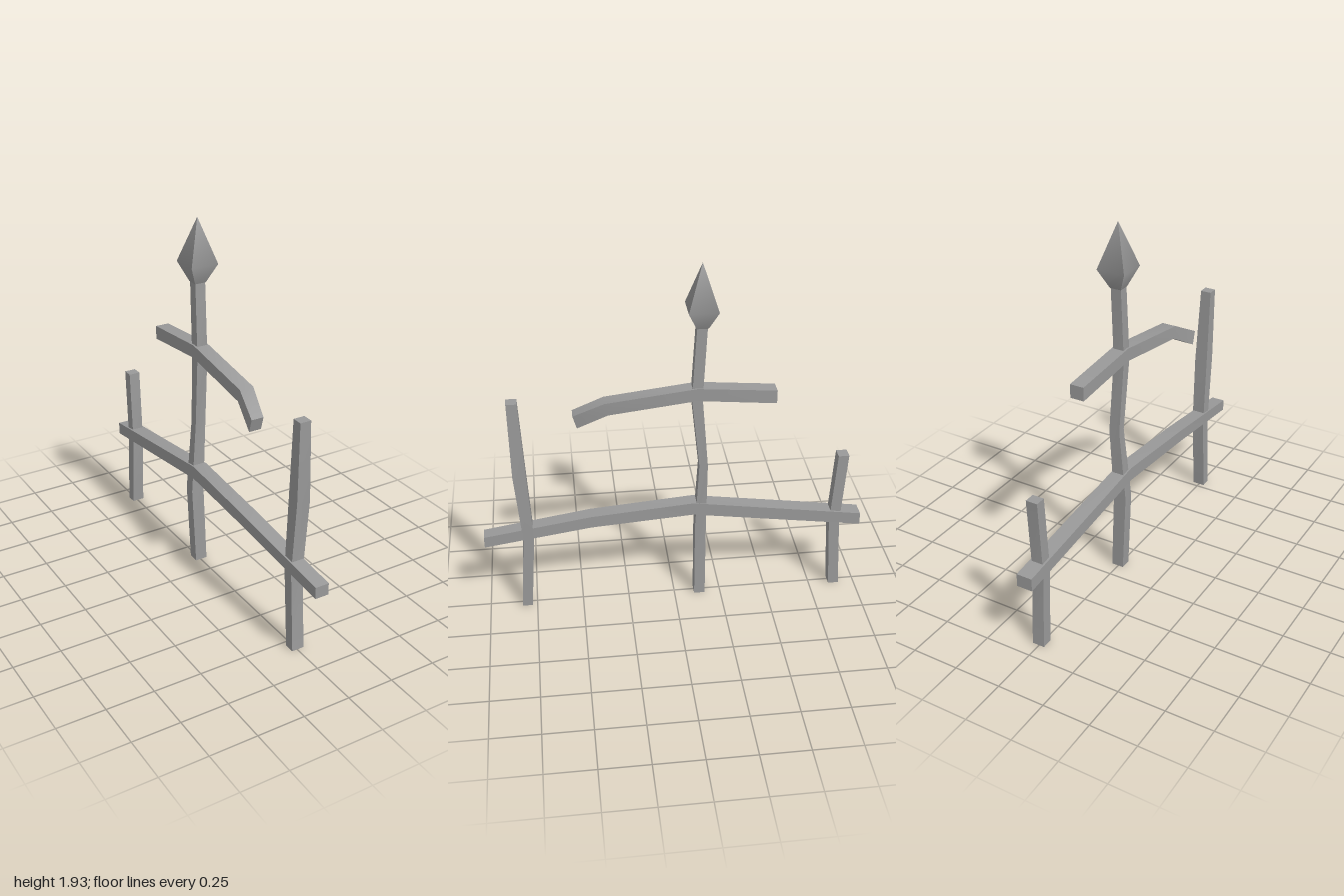
import * as THREE from 'three';
import { toCreasedNormals } from 'three/addons/utils/BufferGeometryUtils.js';

const material = new THREE.MeshStandardMaterial({ color: 0x999999 });

// Lofts a capped four-sided bar through rings: centre x, y, z, half width in x,
// and the half-height vector (vy, vz) of the section. Bends are smooth, edges sharp.
function loft(name, rings) {
  const corners = rings.map(([x, y, z, w, vy, vz]) =>
    [[-1, -1], [1, -1], [1, 1], [-1, 1]].map(([a, b]) => [x + a * w, y + b * vy, z + b * vz]));
  const positions = [];
  const quad = (a, b, c, d) => positions.push(...a, ...b, ...c, ...a, ...c, ...d);
  for (let i = 0; i < corners.length - 1; i++) {
    const p = corners[i], q = corners[i + 1];
    for (let j = 0; j < 4; j++) {
      const k = (j + 1) % 4;
      quad(p[j], p[k], q[k], q[j]);
    }
  }
  const s = corners[0], e = corners[corners.length - 1];
  quad(s[3], s[2], s[1], s[0]);
  quad(e[0], e[1], e[2], e[3]);
  const geometry = new THREE.BufferGeometry();
  geometry.setAttribute('position', new THREE.Float32BufferAttribute(positions, 3));
  const mesh = new THREE.Mesh(toCreasedNormals(geometry, 1), material);
  mesh.name = name;
  return mesh;
}

// Upright bar, rings from bottom to top: x, y, z, half width, half depth
const post = (name, rings) =>
  loft(name, rings.map(([x, y, z, w, d]) => [x, y, z, w, 0, -d]));

// Lengthwise bar, rings from back to front: x, y, z, half width, half height, lean
const rail = (name, rings) =>
  loft(name, rings.map(([x, y, z, w, h, lean = 0]) => [x, y, z, w, h, lean]));

export function createModel() {
  const group = new THREE.Group();
  group.name = 'fence';

  group.add(
    // Crooked uprights
    post('frontPost', [
      [0.004, 0, 0.803, 0.033, 0.027],
      [0.004, 0.44, 0.77, 0.034, 0.028],
      [0.005, 0.83, 0.794, 0.036, 0.034],
      [-0.003, 1.245, 0.805, 0.029, 0.027],
    ]),
    post('centrePost', [
      [0.004, 0, -0.136, 0.033, 0.029],
      [-0.014, 0.44, -0.139, 0.035, 0.029],
      [0.014, 0.83, -0.148, 0.029, 0.022],
      [0.003, 1.22, -0.113, 0.029, 0.027],
      [0.005, 1.61, -0.134, 0.028, 0.026],
    ]),
    post('backPost', [
      [0.005, 0, -0.887, 0.033, 0.028],
      [0.004, 0.42, -0.863, 0.031, 0.028],
      [0.005, 0.83, -0.887, 0.031, 0.028],
    ]),

    // Spear point on the centre post
    post('spearPoint', [
      [0.005, 1.605, -0.135, 0.03, 0.029],
      [0.005, 1.705, -0.135, 0.075, 0.074],
      [0.005, 1.935, -0.135, 0, 0],
    ]),

    // Bent cross rails
    rail('lowerRail', [
      [0.006, 0.432, -1, 0.042, 0.034],
      [-0.006, 0.558, -0.1, 0.039, 0.036],
      [-0.008, 0.516, 0.44, 0.039, 0.033],
      [0.005, 0.441, 1, 0.037, 0.031],
    ]),
    rail('upperRail', [
      [0.006, 1.211, -0.515, 0.037, 0.036],
      [0.003, 1.247, -0.113, 0.038, 0.034],
      [-0.009, 1.187, 0.342, 0.038, 0.033, 0.008],
      [-0.047, 1.1, 0.499, 0.033, 0.035, 0.01],
    ]),
  );
  return group;
}
